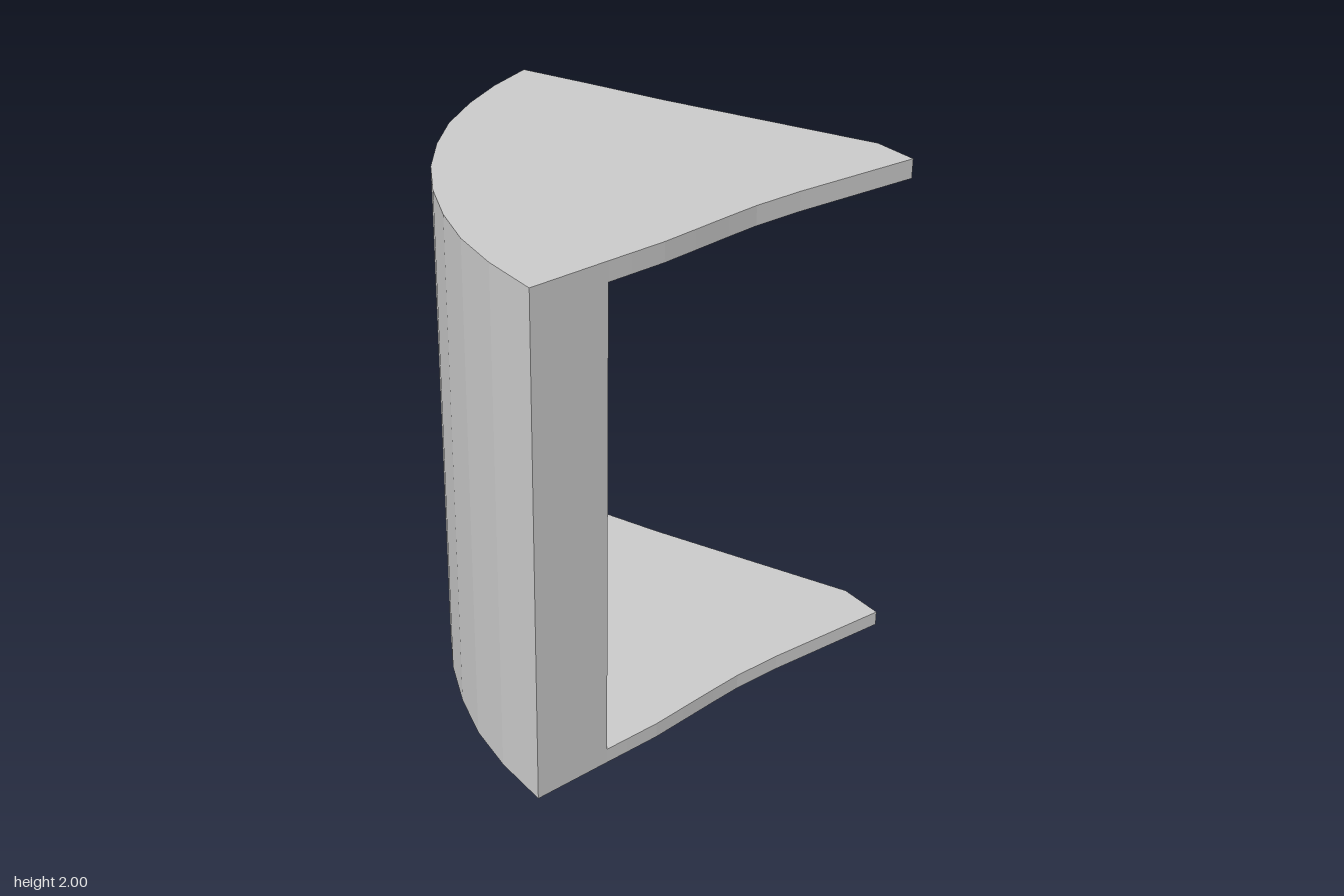
import * as THREE from 'three';

// Plan outlines as [x, z] points
const outerArc = [[-0.85, -0.245], [-0.76, -0.05], [-0.65, 0.13], [-0.51, 0.31], [-0.355, 0.455], [-0.18, 0.585],
  [0.01, 0.69], [0.21, 0.77], [0.41, 0.825], [0.62, 0.85], [0.85, 0.85]];
const centre = [0.72, -0.9], innerScale = 0.82;
const innerArc = outerArc.map((p) => p.map((v, i) => centre[i] + (v - centre[i]) * innerScale));

// Wavy side edge, blunt tip and straight side edge behind the wall
const rearEdge = [[0.82, 0.44], [0.81, 0.3], [0.79, 0.16], [0.767, 0], [0.75, -0.13], [0.74, -0.33],
  [0.74, -0.85], [0.555, -0.85], [-0.25, -0.49]];

// Upright prism from a plan outline
function prism(name, outline, y0, y1, material) {
  const shape = new THREE.Shape(outline.map(([x, z]) => new THREE.Vector2(x, -z)));
  const geometry = new THREE.ExtrudeGeometry(shape, { depth: y1 - y0, bevelEnabled: false });
  geometry.rotateX(-Math.PI / 2).translate(0, y0, 0);
  const mesh = new THREE.Mesh(geometry, material);
  mesh.name = name;
  return mesh;
}

export function createModel() {
  const group = new THREE.Group();
  group.name = 'curvedBracket';
  const material = new THREE.MeshStandardMaterial({ color: 0xcccccc, flatShading: true });

  // Thick curved wall over the full height
  group.add(prism('curvedWall', [...outerArc, ...innerArc.slice().reverse()], 0, 2, material));

  // Plates reaching back from the wall at the bottom and top
  const plate = [...innerArc, ...rearEdge];
  group.add(prism('bottomPlate', plate, 0, 0.06, material));
  group.add(prism('topPlate', plate, 1.925, 2, material));
  return group;
}
